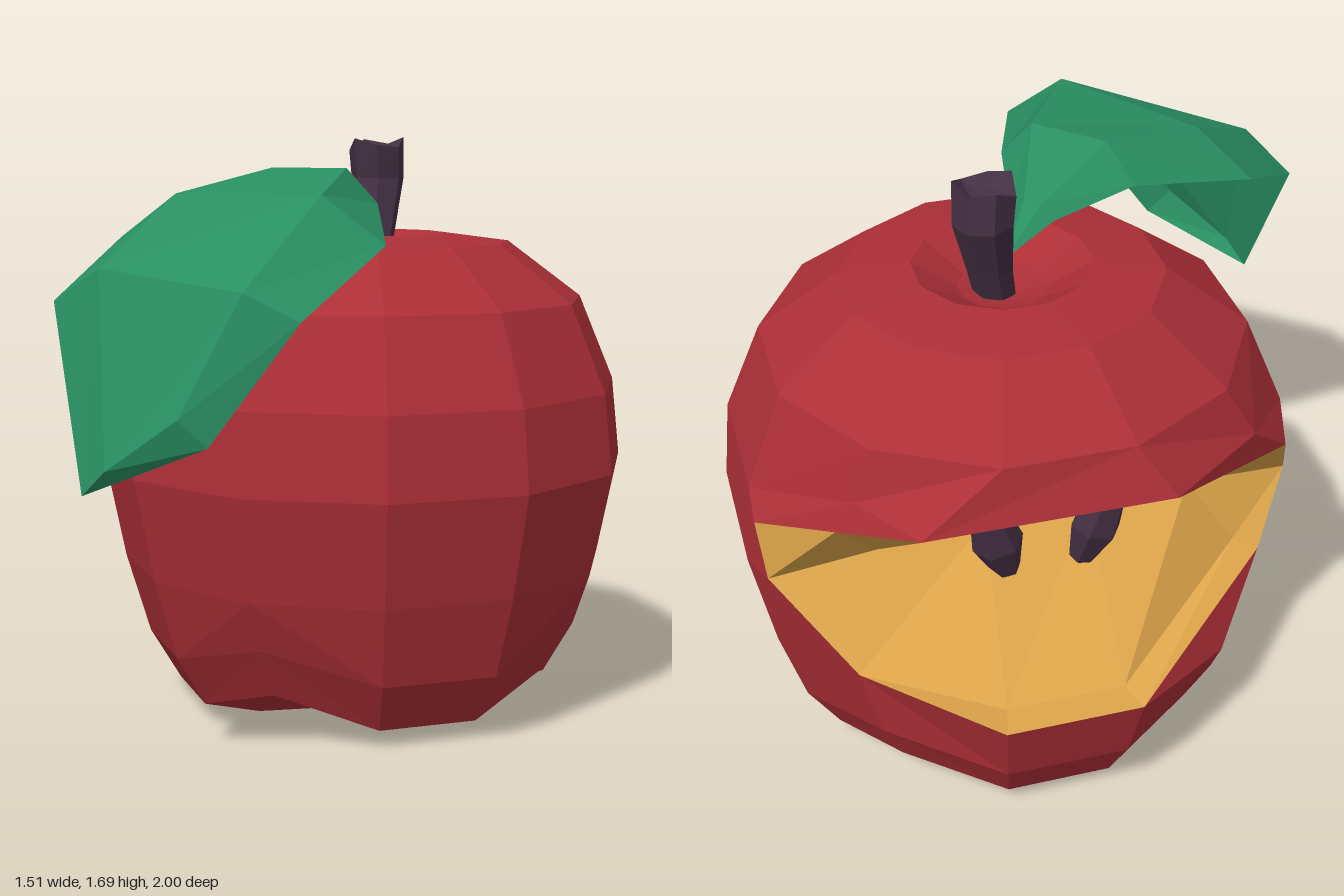
import * as THREE from 'three';

const mat = (name, color, side = THREE.FrontSide) => {
  const m = new THREE.MeshStandardMaterial({ color, flatShading: true, side });
  m.name = name;
  return m;
};
const V = (x, y, z) => new THREE.Vector3(x, y, z);

// Collects triangles, dropping those with no area
class Faces {
  constructor() { this.pos = []; }
  tri(a, b, c) {
    const n = b.clone().sub(a).cross(c.clone().sub(a));
    if (n.length() > 1e-7) for (const p of [a, b, c]) this.pos.push(p.x, p.y, p.z);
  }
  // Joins two rows; flip(j) picks the other diagonal of a quad
  strip(low, high, flip = () => false) {
    for (let j = 0; j < low.length - 1; j++) {
      const [a, b, c, d] = [low[j], low[j + 1], high[j + 1], high[j]];
      if (flip(j)) { this.tri(a, b, d); this.tri(b, c, d); }
      else { this.tri(a, b, c); this.tri(a, c, d); }
    }
  }
  mesh(name, material) {
    const g = new THREE.BufferGeometry();
    g.setAttribute('position', new THREE.Float32BufferAttribute(this.pos, 3));
    g.computeVertexNormals();
    const m = new THREE.Mesh(g, material);
    m.name = name;
    return m;
  }
}

export function createModel() {
  const group = new THREE.Group();
  const red = mat('red skin', 0xac2f37);
  const cream = mat('golden flesh', 0xdfa64b);
  const bark = mat('dark bark', 0x453044);
  const green = mat('leaf green', 0x298f62, THREE.DoubleSide);

  const fruit = new THREE.Group();
  fruit.name = 'fruit';
  fruit.position.set(-0.025, 0, -0.27);
  group.add(fruit);

  // Skin profile: radius, height, then the same on the four grooves of the base
  const SIDES = 12;
  const profile = [
    [0, 0.05], [0.2, 0.035], [0.375, 0, 0.34, 0.04], [0.56, 0.055, 0.58, 0.145],
    [0.65, 0.205, 0.655, 0.29], [0.72, 0.44], [0.78, 0.74], [0.755, 0.97],
    [0.65, 1.22], [0.43, 1.385], [0.24, 1.41], [0.12, 1.34], [0, 1.31],
  ];
  const rows = profile.map(([r, y, gr = r, gy = y]) => {
    const row = [];
    for (let j = 0; j < SIDES; j++) {
      const t = (j - 1) * Math.PI * 2 / SIDES;
      const groove = j % 3 === 1;
      const rad = groove ? gr : r;
      row.push(V(-Math.sin(t) * rad, groove ? gy : y, -Math.cos(t) * rad));
    }
    row.push(row[0]);
    return row;
  });

  // Shape the skin around the bite, which spans columns 0 to 5
  const [A, B, C] = [rows[5], rows[6], rows[7]];
  A[1].set(0.04, 0.51, -0.698);
  A[2].y = A[3].y = 0.42;
  A[4].set(-0.685, 0.365, 0);
  C[1].set(0.025, 1.075, -0.69);
  C[2].set(-0.195, 1.065, -0.73);
  C[3].set(-0.665, 1.085, -0.3);
  C[4].set(-0.715, 1.075, 0.05);
  const lowStart = V(0.3, 0.74, -0.71);
  const lowEnd = V(-0.665, 0.525, 0.27);
  const topStart = V(0.325, 0.915, -0.71);
  const topEnd = V(-0.735, 0.935, 0.23);

  const skin = new Faces();
  for (let i = 0; i < rows.length - 1; i++) {
    if (i === 5 || i === 6) skin.strip(rows[i].slice(5), rows[i + 1].slice(5));
    else skin.strip(rows[i], rows[i + 1], j => (i < 5 ? j % 3 === 1 : j === 3));
  }
  // Facets filling in between the skin and the bite's edge
  for (const t of [
    [A[0], A[1], lowStart], [A[0], lowStart, B[0]], [B[0], lowStart, topStart],
    [B[0], topStart, C[0]], [topStart, C[1], C[0]], [topStart, C[2], C[1]],
    [C[3], topEnd, C[4]], [topEnd, C[5], C[4]], [B[5], C[5], topEnd],
    [A[3], A[4], lowEnd], [A[4], A[5], lowEnd], [A[5], B[5], lowEnd],
  ]) skin.tri(...t);
  fruit.add(skin.mesh('skin', red));

  // Flesh: level rim, sloping floor, deep crease and overhanging ceiling
  const rim = [lowStart, A[1], A[2], A[3], lowEnd, B[5]];
  const inner = rim.map((p, j) => (j === 2 || j === 3 ? V(p.x * 0.87, p.y, p.z * 0.87)
    : j === 4 ? V(p.x * 0.9, p.y + 0.03, p.z * 0.9) : p));
  const crease = rim.map((p, j) => {
    const q = lowStart.clone().lerp(B[5], j / 5);
    q.y += 0.03 * Math.sin(j / 5 * Math.PI);
    return q;
  });
  const ceiling = [topStart, topStart.clone().lerp(C[2], 0.5), C[2],
    C[3], C[3].clone().lerp(topEnd, 0.5), topEnd];
  const flesh = new Faces();
  flesh.strip(rim, inner);
  flesh.strip(inner, crease);
  flesh.strip(crease, ceiling);
  fruit.add(flesh.mesh('flesh', cream));

  // Two pips, pointed at the bottom
  for (const s of [-1, 1]) {
    const g = new THREE.SphereGeometry(1, 6, 4);
    const p = g.attributes.position;
    for (let i = 0; i < p.count; i++) {
      const taper = p.getY(i) < -0.5 ? 0.75 : 1;
      p.setXYZ(i, p.getX(i) * 0.07 * taper, p.getY(i) * 0.17, p.getZ(i) * 0.06 * taper);
    }
    const pip = new THREE.Mesh(g, bark);
    pip.name = s < 0 ? 'rightPip' : 'leftPip';
    pip.rotation.set(-0.2, Math.PI / 4, s * -0.25, 'YXZ');
    pip.position.set(-0.265 + s * 0.095, 0.78, -0.24 - s * 0.095);
    fruit.add(pip);
  }

  // Stem: bent and flared, with a ragged hollow end
  const stemRings = [
    [0, 1.26, -0.255, 0.055], [-0.01, 1.41, -0.308, 0.062], [-0.025, 1.57, -0.362, 0.08],
    [-0.025, 1.67, -0.352, 0.083], [-0.025, 1.645, -0.352, 0.04], [-0.025, 1.64, -0.352, 0],
  ].map(([x, y, z, r], i) => {
    const ring = [];
    for (let j = 0; j < 7; j++) {
      const t = j * Math.PI * 2 / 7;
      const ragged = i === 3 ? 0.02 * Math.sin(j * 2.4) : 0;
      ring.push(V(x - Math.sin(t) * r, y + ragged, z - Math.cos(t) * r));
    }
    return [...ring, ring[0]];
  });
  const stem = new Faces();
  for (let i = 0; i < stemRings.length - 1; i++) stem.strip(stemRings[i], stemRings[i + 1]);
  group.add(stem.mesh('stem', bark));

  // Leaf: cross-sections from stalk to tip, each running right to left
  const root = [-0.025, 1.41, -0.25];
  const tip = [-0.2, 0.815, 0.98];
  const leafRows = [
    [root, root, root, root],
    [[-0.09, 1.47, -0.11], [-0.05, 1.51, -0.11], [0, 1.51, -0.11], [0.05, 1.465, -0.1]],
    [[-0.22, 1.51, 0.1], [-0.12, 1.605, 0.13], [0.11, 1.605, 0.13], [0.19, 1.51, 0.1]],
    [[-0.415, 1.42, 0.45], [-0.24, 1.54, 0.45], [0.24, 1.545, 0.54], [0.4, 1.42, 0.5]],
    [[-0.395, 1.275, 0.8], [-0.23, 1.365, 0.84], [0.19, 1.32, 0.86], [0.32, 1.25, 0.81]],
    [tip, [-0.12, 0.885, 0.998], [0.07, 1.02, 0.97], [0.13, 0.95, 0.93]],
  ].map(row => row.map(p => V(...p)));
  const leaf = new Faces();
  for (let i = 0; i < leafRows.length - 1; i++) leaf.strip(leafRows[i + 1], leafRows[i]);
  // Folded-under lip at the end of the leaf
  const [end, mid, fold, corner] = leafRows[5];
  leaf.tri(end, corner, mid);
  leaf.tri(mid, corner, fold);
  group.add(leaf.mesh('leaf', green));

  return group;
}
